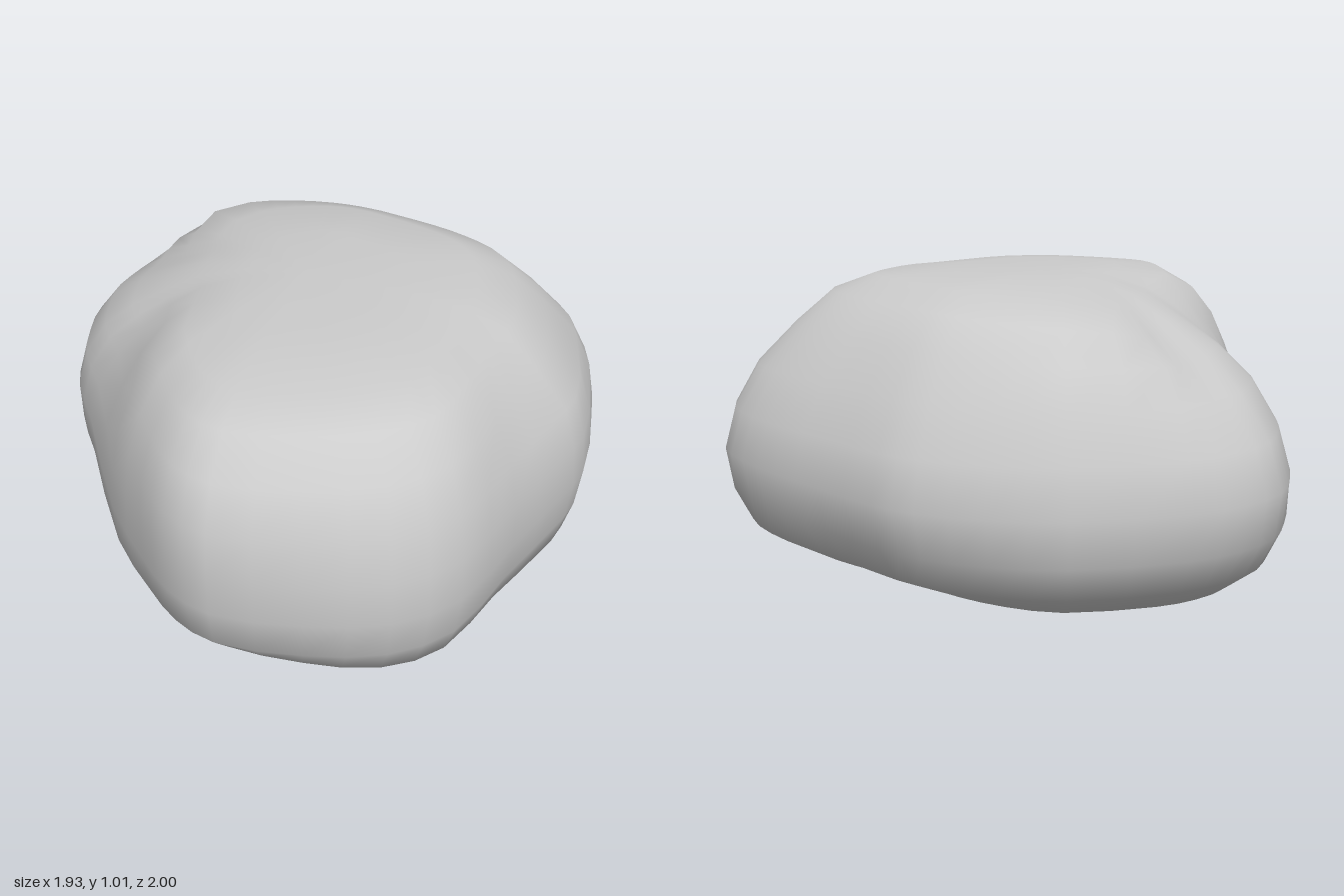
import * as THREE from 'three';

// Plan outline of the boulder at its widest, as [x, z]
const OUTLINE = [
  [0.965, -0.02], [0.92, 0.15], [0.83, 0.42], [0.74, 0.71], [0.58, 0.87], [0.35, 0.96],
  [0.08, 1.0], [-0.07, 0.95], [-0.2, 0.85], [-0.4, 0.66], [-0.7, 0.25], [-0.85, 0.06],
  [-0.92, -0.1], [-0.965, -0.28], [-0.93, -0.45], [-0.85, -0.6], [-0.6, -0.85],
  [-0.4, -0.95], [-0.2, -1.0], [-0.05, -1.0], [0.2, -0.95], [0.4, -0.91], [0.6, -0.85],
  [0.77, -0.76], [0.89, -0.6], [0.94, -0.35],
];

// Heights of the rings, and how far each ring reaches towards the outline by direction
const HEIGHTS = [0.005, 0.03, 0.08, 0.17, 0.28, 0.42, 0.56, 0.7, 0.83, 0.93, 0.98, 1.0];
const PROFILES = [
  { deg: 0, s: [0.4, 0.68, 0.85, 0.955, 0.985, 1, 0.985, 0.94, 0.82, 0.71, 0.58, 0.34] }, // +x side
  { deg: 45, s: [0.4, 0.62, 0.81, 0.935, 0.98, 1, 0.99, 0.96, 0.9, 0.8, 0.67, 0.38] }, // front corner
  { deg: 90, s: [0.3, 0.47, 0.66, 0.87, 0.97, 1, 1, 0.99, 0.93, 0.82, 0.69, 0.4] }, // front
  { deg: 125, s: [0.43, 0.64, 0.83, 0.94, 0.99, 1, 0.98, 0.94, 0.86, 0.75, 0.6, 0.35] }, // steep flank
  { deg: 150, s: [0.46, 0.68, 0.87, 0.96, 1, 1, 0.94, 0.83, 0.72, 0.6, 0.47, 0.28] }, // flank gully
  { deg: 170, s: [0.46, 0.67, 0.86, 0.95, 1, 1, 0.95, 0.85, 0.72, 0.58, 0.43, 0.24] }, // flank by the nose
  { deg: 197, s: [0.43, 0.62, 0.8, 0.92, 0.98, 1, 0.95, 0.84, 0.7, 0.54, 0.39, 0.21] }, // low -x nose
  { deg: 228, s: [0.4, 0.58, 0.78, 0.92, 0.975, 1, 0.97, 0.92, 0.86, 0.77, 0.57, 0.28] }, // back shoulder
  { deg: 270, s: [0.35, 0.5, 0.7, 0.89, 0.965, 1, 0.965, 0.89, 0.8, 0.7, 0.57, 0.32] }, // back
  { deg: 315, s: [0.38, 0.58, 0.78, 0.93, 0.98, 1, 0.965, 0.89, 0.77, 0.66, 0.53, 0.3] }, // back corner
];

// Reach of ring j in a direction, eased between neighbouring profiles
function reach(j, deg) {
  const n = PROFILES.length;
  let k = n - 1;
  while (PROFILES[k].deg > deg) k--;
  const a = PROFILES[k], b = PROFILES[(k + 1) % n];
  const end = k + 1 < n ? b.deg : 360;
  const t = THREE.MathUtils.smoothstep(deg, a.deg, end);
  return THREE.MathUtils.lerp(a.s[j], b.s[j], t);
}

// Soft hollow of a given depth around a point in plan
const hollow = (x, z, cx, cz, depth, spread) =>
  depth * Math.exp(-((x - cx) ** 2 + (z - cz) ** 2) / spread);

// Lean of the top and base, with shallow hollows above the nose and the gully
function shapeHeight(x, y, z) {
  const top = THREE.MathUtils.smoothstep(y, 0.6, 1);
  const lean = x < 0 ? 0.07 * x : 0.03 * Math.min(x, 0.35);
  const dent = hollow(x, z, -0.6, -0.31, 0.05, 0.035) + hollow(x, z, -0.5, 0.08, 0.04, 0.03);
  const base = 0.025 * Math.max(x, 0) * (1 - y);
  return y + base + top * (lean - 0.003 - dent);
}

function boulderGeometry(sides = 52) {
  const curve = new THREE.CatmullRomCurve3(
    OUTLINE.map(([x, z]) => new THREE.Vector3(x, 0, z)), true);
  const rim = Array.from({ length: sides }, (_, i) => curve.getPoint(i / sides));
  const positions = [], index = [];

  // Rings from the base to the top
  HEIGHTS.forEach((y, j) => {
    for (const p of rim) {
      const deg = (THREE.MathUtils.radToDeg(Math.atan2(p.z, p.x)) + 360) % 360;
      const s = reach(j, deg);
      const x = p.x * s, z = p.z * s;
      positions.push(x, shapeHeight(x, y, z), z);
    }
  });
  const rings = HEIGHTS.length;
  for (let j = 0; j < rings - 1; j++) {
    for (let i = 0; i < sides; i++) {
      const a = j * sides + i, b = j * sides + (i + 1) % sides;
      index.push(a, a + sides, b, b, a + sides, b + sides);
    }
  }

  // Close the base and the top
  const bottom = rings * sides, top = bottom + 1, last = (rings - 1) * sides;
  positions.push(0, 0, 0, 0, 0.997, 0);
  for (let i = 0; i < sides; i++) {
    const next = (i + 1) % sides;
    index.push(bottom, i, next, top, last + next, last + i);
  }

  const geometry = new THREE.BufferGeometry();
  geometry.setAttribute('position', new THREE.Float32BufferAttribute(positions, 3));
  geometry.setIndex(index);
  geometry.computeVertexNormals();
  return geometry;
}

export function createModel() {
  const group = new THREE.Group();
  group.name = 'rock';
  const boulder = new THREE.Mesh(
    boulderGeometry(), new THREE.MeshStandardMaterial({ color: 0xcccccc }));
  boulder.name = 'boulder';
  group.add(boulder);
  return group;
}
